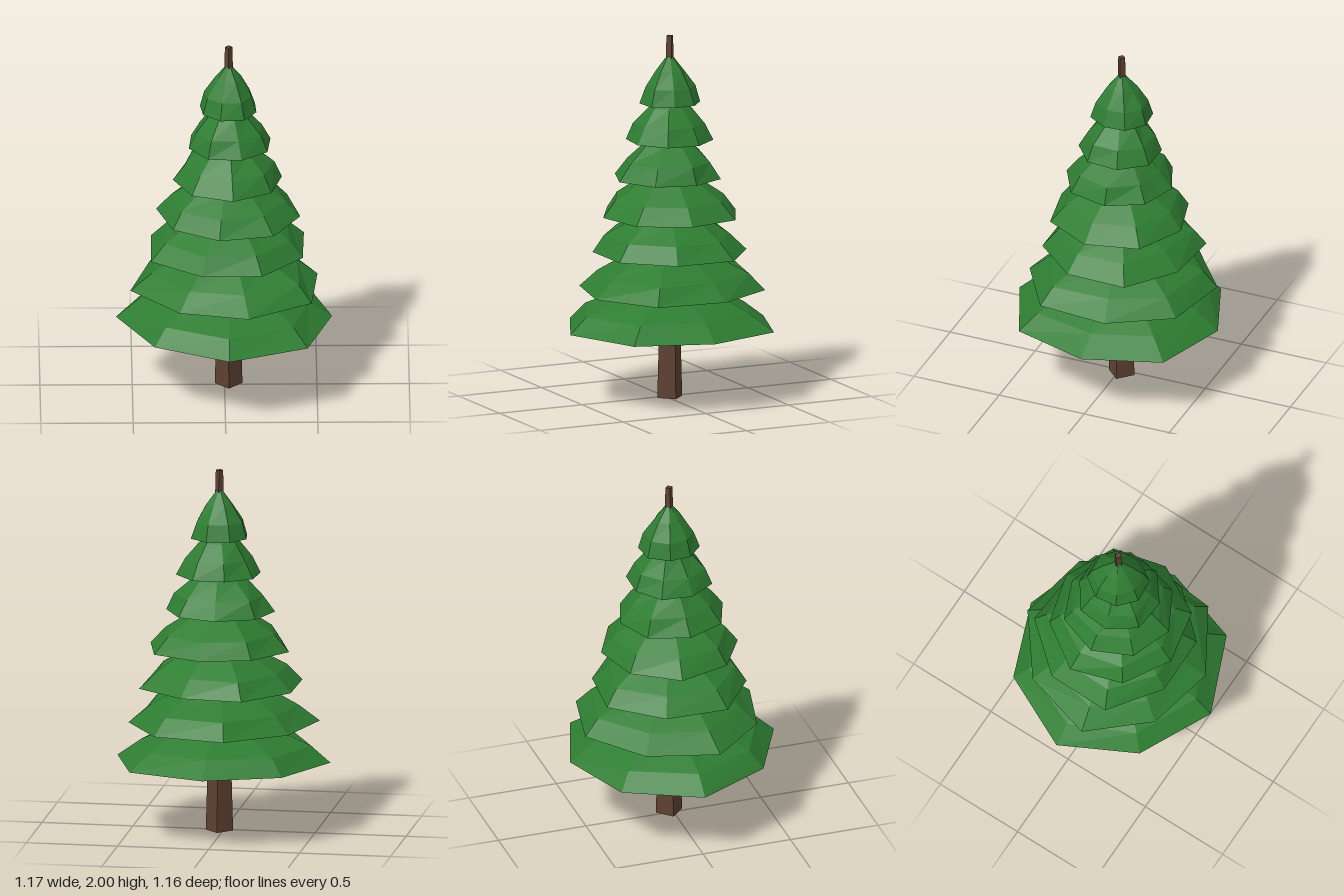
import * as THREE from 'three';

// rim height, turn in degrees, and the eight slightly uneven rim radii of each tier
const TIERS = [
  { y: 0.397, turn: 0, rim: [0.56, 0.6, 0.6, 0.57, 0.61, 0.58, 0.565, 0.596] },
  { y: 0.603, turn: 33, rim: [0.533, 0.508, 0.493, 0.545, 0.506, 0.527, 0.52, 0.493] },
  { y: 0.81, turn: 20.5, rim: [0.427, 0.43, 0.42, 0.465, 0.446, 0.46, 0.417, 0.45] },
  { y: 1.015, turn: 8, rim: [0.391, 0.4, 0.379, 0.38, 0.396, 0.373, 0.374, 0.398] },
  { y: 1.22, turn: -4, rim: [0.289, 0.306, 0.315, 0.307, 0.303, 0.306, 0.286, 0.286] },
  { y: 1.425, turn: 28.5, rim: [0.238, 0.235, 0.238, 0.225, 0.23, 0.219, 0.236, 0.237] },
  { y: 1.63, turn: 16, rim: [0.156, 0.171, 0.167, 0.159, 0.161, 0.171, 0.167, 0.164] },
];
const SIDES = 8;
const TIER_HEIGHT = 0.272;
const PROFILE = [0.03, 0.47, 0.81, 1]; // radius ratio from tip to rim

// repeatable uneven factor around 1
function makeJitter(seed, amount) {
  return () => {
    seed = (seed * 16807) % 2147483647;
    return 1 + (seed / 2147483647 - 0.5) * 2 * amount;
  };
}

// open, convex skirt of branches with an uneven rim
function makeTier({ y, turn, rim }, seed) {
  const rows = PROFILE.length - 1;
  const geometry = new THREE.CylinderGeometry(1, 1, 1, SIDES, rows, true);
  const position = geometry.attributes.position;
  const jitter = makeJitter(seed, 0.06);
  for (let row = 0; row <= rows; row++) {
    const factors = rim.map(() => (row === rows ? 1 : jitter()));
    for (let i = 0; i <= SIDES; i++) {
      const k = (SIDES - i) % SIDES;
      const angle = THREE.MathUtils.degToRad(turn + (k * 360) / SIDES);
      const r = rim[k] * PROFILE[row] * factors[k];
      position.setXYZ(
        row * (SIDES + 1) + i,
        Math.cos(angle) * r,
        y + TIER_HEIGHT * (1 - row / rows),
        Math.sin(angle) * r
      );
    }
  }
  geometry.computeVertexNormals();
  return geometry;
}

export function createModel() {
  const bark = new THREE.MeshStandardMaterial({ color: 0x5c4030, flatShading: true });
  bark.name = 'bark brown';
  const needles = new THREE.MeshStandardMaterial({
    color: 0x2e7d32, flatShading: true, side: THREE.DoubleSide,
  });
  needles.name = 'needle green';

  const tree = new THREE.Group();
  tree.name = 'firTree';

  // four-sided tapering trunk that pokes out at the top
  const trunk = new THREE.Mesh(new THREE.CylinderGeometry(0.02, 0.075, 2, 4), bark);
  trunk.name = 'trunk';
  trunk.position.y = 1;
  tree.add(trunk);

  // stacked tiers of branches
  const branches = new THREE.Group();
  branches.name = 'branches';
  TIERS.forEach((tier, i) => {
    const mesh = new THREE.Mesh(makeTier(tier, 977 * (i + 3)), needles);
    mesh.name = `branchTier${i + 1}`;
    branches.add(mesh);
  });
  tree.add(branches);

  // the trunk stands slightly off the middle of the uneven branches
  tree.position.set(0.022, 0, -0.018);
  const model = new THREE.Group();
  model.name = 'model';
  model.add(tree);
  return model;
}
